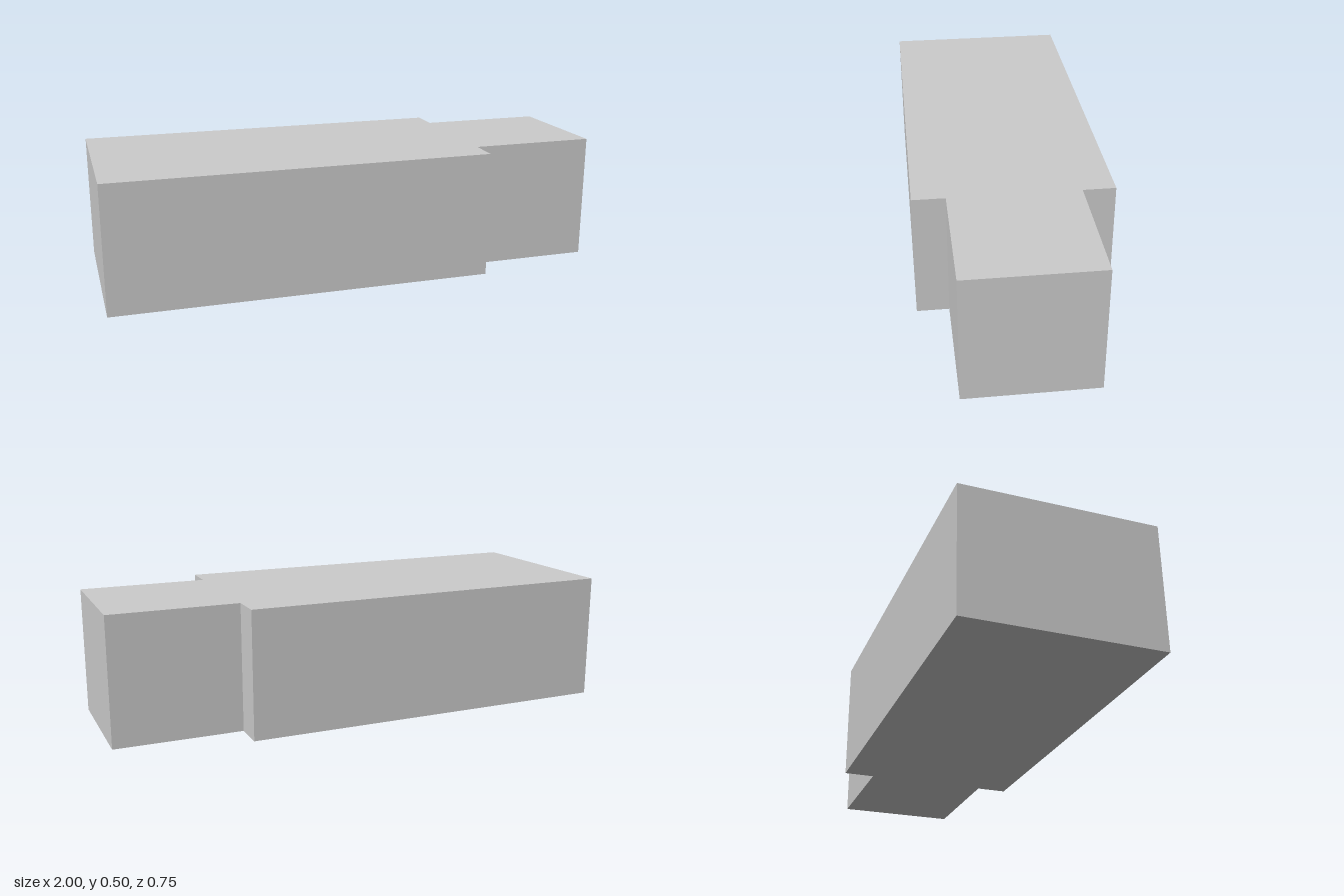
import * as THREE from 'three';

const HEIGHT = 0.5;

export function createModel() {
  const group = new THREE.Group();
  group.name = 'steppedBlock';

  // Plan outline: wide body with a narrower tongue at +x, mirrored across z
  const half = [[-1, 0.375], [0.5, 0.375], [0.5, 0.25], [1, 0.25]];
  const outline = [
    ...half.map(([x, z]) => new THREE.Vector2(x, -z)),
    ...half.reverse().map(([x, z]) => new THREE.Vector2(x, z)),
  ];

  // Extrude the outline upwards from the ground
  const geometry = new THREE.ExtrudeGeometry(new THREE.Shape(outline), {
    depth: HEIGHT,
    bevelEnabled: false,
  });
  geometry.rotateX(-Math.PI / 2);

  const block = new THREE.Mesh(
    geometry,
    new THREE.MeshStandardMaterial({ color: 0xcccccc, flatShading: true }),
  );
  block.name = 'bodyWithTongue';
  group.add(block);
  return group;
}
